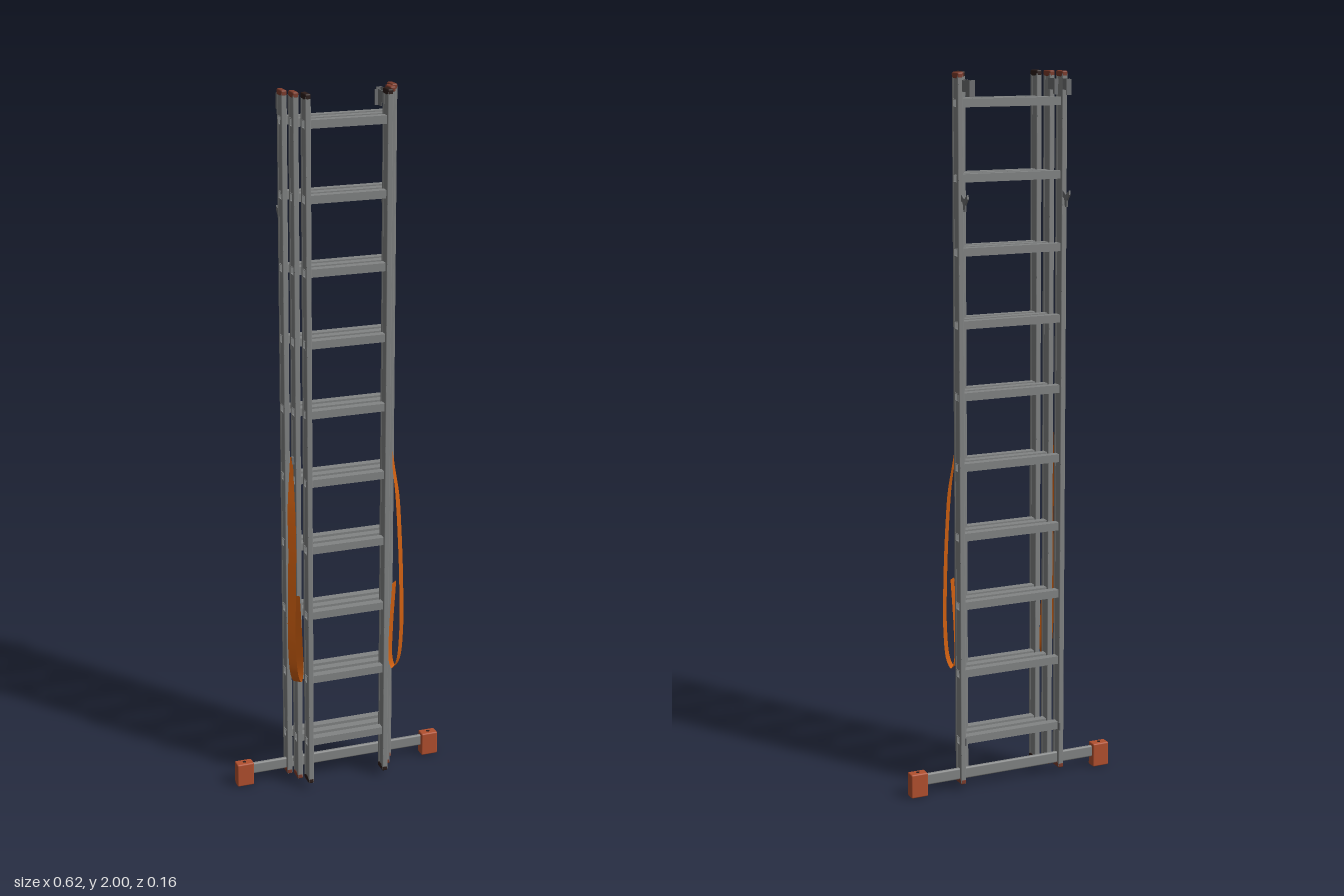
import * as THREE from 'three';
import { RoundedBoxGeometry } from 'three/addons/geometries/RoundedBoxGeometry.js';

const mat = (name, color, side = THREE.FrontSide) => {
  const m = new THREE.MeshStandardMaterial({ color, side });
  m.name = name;
  return m;
};

export function createModel() {
  const aluminium = mat('aluminium', 0x828484);
  const steel = mat('steel', 0x6e7072, THREE.DoubleSide);
  const plastic = mat('red plastic', 0xb2502f);
  const capPlastic = mat('dark red plastic', 0x7e3c2c);
  const black = mat('black plastic', 0x2c1d1a);
  const webbing = mat('orange webbing', 0xcc5e10, THREE.DoubleSide);

  const model = new THREE.Group();
  model.name = 'tripleLadder';
  const add = (parent, name, geo, material, x = 0, y = 0, z = 0) => {
    const mesh = new THREE.Mesh(geo, material);
    mesh.name = name;
    mesh.position.set(x, y, z);
    parent.add(mesh);
    return mesh;
  };
  const group = (parent, name) => {
    const g = new THREE.Group();
    g.name = name;
    parent.add(g);
    return g;
  };

  // Shapes lie in the z-y plane and are extruded along x, centred
  const rectPoints = (w, h, cy = 0) => [[-w, -h], [w, -h], [w, h], [-w, h]]
    .map(([u, v]) => new THREE.Vector2(u / 2, cy + v / 2));
  const extrudeX = (shape, length) =>
    new THREE.ExtrudeGeometry(shape, { depth: length, bevelEnabled: false })
      .translate(0, 0, -length / 2).rotateY(Math.PI / 2);

  const rungYs = Array.from({ length: 10 }, (_, i) => 0.145 + i * 0.1972);
  const BOTTOM = 0.02, TOP = 1.995, MID = (BOTTOM + TOP) / 2, HEIGHT = TOP - BOTTOM;

  // Rail web pierced at every rung
  const webShape = new THREE.Shape(rectPoints(0.04, HEIGHT, MID));
  rungYs.forEach(y => webShape.holes.push(new THREE.Path(rectPoints(0.019, 0.019, y).reverse())));
  const webGeo = extrudeX(webShape, 0.012);
  const flangeGeo = new RoundedBoxGeometry(0.016, HEIGHT, 0.009, 2, 0.003);
  const capGeo = new RoundedBoxGeometry(0.0165, 0.016, 0.041, 2, 0.004);

  // Hollow square rung
  const rungGeo = length => {
    const s = new THREE.Shape(rectPoints(0.023, 0.022));
    s.holes.push(new THREE.Path(rectPoints(0.019, 0.019).reverse()));
    return extrudeX(s, length);
  };

  // Three nested ladder sections
  const sections = [
    { name: 'backSection', x: 0.153, z: -0.015, cap: capPlastic },
    { name: 'middleSection', x: 0.134, z: 0.023, cap: capPlastic },
    { name: 'frontSection', x: 0.113, z: 0.06, cap: black },
  ];
  for (const { name, x, z, cap } of sections) {
    const section = group(model, name);
    section.position.z = z;
    for (const s of [-1, 1]) {
      const rail = group(section, s > 0 ? 'leftRail' : 'rightRail');
      rail.position.x = s * x;
      add(rail, 'railWeb', webGeo, aluminium);
      for (const dz of [-0.0157, 0.0157]) add(rail, 'railFlange', flangeGeo, aluminium, 0, MID, dz);
      add(rail, 'topCap', capGeo, cap, 0, 1.992, 0);
      add(rail, 'bottomCap', capGeo, cap, 0, 0.026, 0);
    }
    const geo = rungGeo(2 * x + 0.016);
    rungYs.forEach(y => add(section, 'rung', geo, aluminium, 0, y, 0));
  }

  // Stabiliser bar with feet
  const base = group(model, 'stabiliser');
  add(base, 'stabiliserBar', new RoundedBoxGeometry(0.56, 0.034, 0.012, 3, 0.005), aluminium, 0, 0.046, -0.016);
  const footGeo = new RoundedBoxGeometry(0.05, 0.07, 0.031, 2, 0.004);
  const plugGeo = new THREE.CylinderGeometry(0.005, 0.005, 0.002, 16);
  for (const s of [-1, 1]) {
    add(base, 'foot', footGeo, plastic, s * 0.285, 0.035, -0.0155);
    add(base, 'footPlug', plugGeo, black, s * 0.285, 0.07, -0.0155);
  }

  // Guide hooks: a side plate with an inward lip
  const hook = (s, x, zEnd, lip, zStart) => {
    const g = group(model, 'guideHook');
    const length = zStart - zEnd;
    const plate = new THREE.Shape([[-zStart, 1.95], [-zStart + length * 0.5, 1.95],
      [-zStart + length * 0.55, 1.938], [-zEnd, 1.938], [-zEnd, 1.98], [-zStart, 1.98]]
      .map(p => new THREE.Vector2(...p)));
    add(g, 'hookPlate', extrudeX(plate, 0.002), steel, s * x, 0, 0);
    add(g, 'hookLip', new THREE.BoxGeometry(lip, 0.042, 0.002), steel, s * (x - lip / 2), 1.959, zEnd + 0.001);
  };

  // Forked locking latch behind the rail
  const latchShape = new THREE.Shape([[0.02, 1.668], [0.045, 1.66], [0.05, 1.637], [0.058, 1.637],
    [0.06, 1.655], [0.075, 1.672], [0.073, 1.683], [0.054, 1.67], [0.038, 1.68], [0.02, 1.68]]
    .map(p => new THREE.Vector2(...p)));
  const latchGeo = extrudeX(latchShape, 0.005);

  // Hanging strap: a flat ribbon swept down a curve
  const strap = s => {
    const curve = new THREE.CatmullRomCurve3([
      [0.146, 1.0, 0.02], [0.151, 0.93, 0.032], [0.156, 0.86, 0.046], [0.159, 0.74, 0.06], [0.163, 0.6, 0.065],
      [0.164, 0.45, 0.066], [0.156, 0.36, 0.063], [0.145, 0.337, 0.057],
      [0.138, 0.36, 0.052], [0.139, 0.45, 0.05], [0.147, 0.6, 0.052],
    ].map(([x, y, z]) => new THREE.Vector3(s * x, y, z)));
    const steps = 60, pos = [], index = [];
    for (let i = 0; i <= steps; i++) {
      const p = curve.getPoint(i / steps);
      const w = Math.min(0.012, 0.004 + i * 0.0006);
      for (const e of [-1, 1]) pos.push(p.x + s * e * w * 0.75, p.y, p.z - e * w * 0.66);
      if (i < steps) {
        const a = i * 2;
        index.push(a, a + 1, a + 2, a + 1, a + 3, a + 2);
      }
    }
    const geo = new THREE.BufferGeometry();
    geo.setAttribute('position', new THREE.Float32BufferAttribute(pos, 3));
    geo.setIndex(index);
    geo.computeVertexNormals();
    add(model, s > 0 ? 'leftStrap' : 'rightStrap', geo, webbing);
  };

  for (const s of [-1, 1]) {
    hook(s, 0.147, -0.083, 0.013, -0.03);
    hook(s, 0.126, -0.047, 0.01, 0.01);
    add(model, 'latch', latchGeo, steel, s * 0.15, 0, 0);
    add(model, 'lowerBracket', new THREE.BoxGeometry(0.004, 0.022, 0.01), steel, s * 0.147, 0.145, -0.035);
    add(model, 'strapAnchor', new THREE.BoxGeometry(0.006, 0.02, 0.012), steel, s * 0.143, 0.99, 0.02);
    strap(s);
  }
  return model;
}
